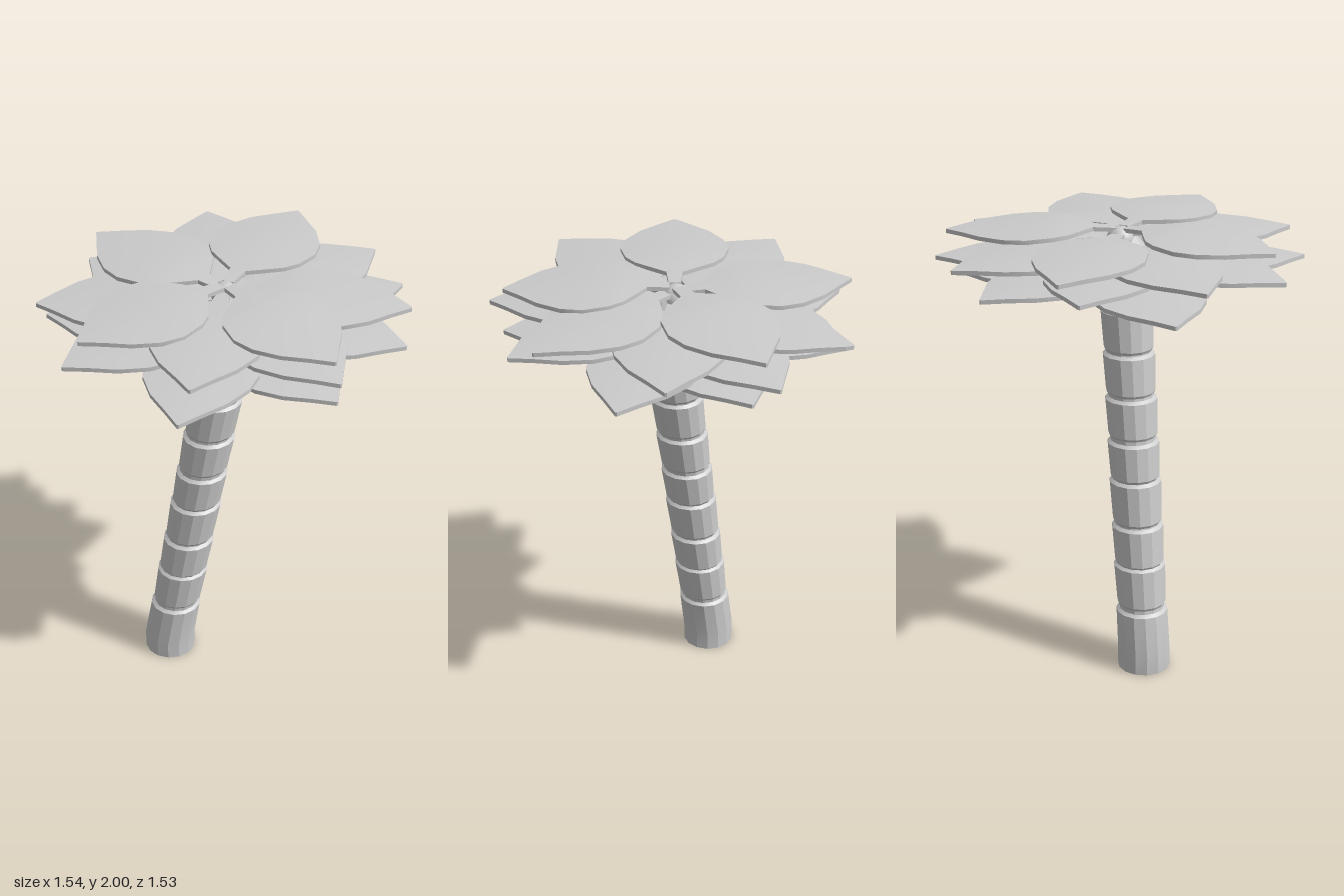
import * as THREE from 'three';
import { toCreasedNormals } from 'three/addons/utils/BufferGeometryUtils.js';

const material = new THREE.MeshStandardMaterial({ color: 0xcccccc });

// Skins a list of equal-sized rings of [x, y, z] points and caps both ends.
function loft(rings, crease) {
  const n = rings[0].length, last = (rings.length - 1) * n;
  const index = [];
  for (let i = 0; i < rings.length - 1; i++) {
    for (let j = 0; j < n; j++) {
      const a = i * n + j, b = i * n + (j + 1) % n;
      index.push(a, b, b + n, a, b + n, a + n);
    }
  }
  for (let j = 1; j < n - 1; j++) {
    index.push(0, j + 1, j, last, last + j, last + j + 1);
  }
  const geometry = new THREE.BufferGeometry();
  geometry.setAttribute('position', new THREE.Float32BufferAttribute(rings.flat(2), 3));
  geometry.setIndex(index);
  return toCreasedNormals(geometry, crease);
}

function addMesh(parent, name, geometry) {
  const mesh = new THREE.Mesh(geometry, material);
  mesh.name = name;
  parent.add(mesh);
  return mesh;
}

// Horizontal ring of the leaning trunk: upright foot, then a straight lean
function trunkRing(y, radius) {
  const t = THREE.MathUtils.clamp((y - 0.08) / 1.64, 0, 1);
  const cx = -0.175 + 0.165 * t, cz = -0.2 + 0.22 * t;
  return Array.from({ length: 14 }, (_, k) => {
    const a = k / 14 * Math.PI * 2;
    return [cx + radius * Math.sin(a), y, cz + radius * Math.cos(a)];
  });
}

// Pointed leaf along +x: gently arched, edges drooping a little
const leafOutline = [ // fraction of length, half width
  [0.03, 0.025], [0.16, 0.035], [0.22, 0.1], [0.29, 0.17], [0.37, 0.212],
  [0.52, 0.237], [0.65, 0.217], [0.79, 0.155], [0.9, 0.075], [1, 0.004],
];
function leafGeometry(length) {
  const thickness = 0.018;
  const rings = leafOutline.map(([f, w]) => {
    const arch = f < 0.35 ? 0.03 - 0.015 * (1 - f / 0.35) : 0.03 * (1 - ((f - 0.35) / 0.65) ** 1.5);
    const across = [-1, -0.5, 0, 0.5, 1].map((s) => [f * length, arch - 0.2 * (s * w) ** 2, s * w]);
    const under = across.map(([x, y, z]) => [x, y - thickness, z]).reverse();
    return [...across, ...under];
  });
  return loft(rings, 0.6);
}

// Whorls from top to bottom: tip height, then [heading in degrees, length]
const whorls = [
  [1.973, [[-17, 0.755], [101, 0.72], [191, 0.725]]],
  [1.951, [[-90, 0.77], [57, 0.775], [148, 0.755]]],
  [1.91, [[13.5, 0.79], [102.5, 0.78], [226, 0.79], [-48.5, 0.8]]],
  [1.866, [[193, 0.79], [-20, 0.8], [69, 0.79], [264, 0.745]]],
  [1.825, [[150.5, 0.815], [27, 0.82], [-61.5, 0.775]]],
  [1.785, [[235, 0.77], [-14, 0.725], [100, 0.725]]],
];

export function createModel() {
  const model = new THREE.Group();
  model.name = 'palmTree';

  // Trunk: flared segments separated by narrow grooves
  const bottoms = [0, 0.31, 0.5, 0.69, 0.89, 1.08, 1.27, 1.46, 1.65];
  const tops = [0.27, 0.48, 0.66, 0.865, 1.04, 1.235, 1.43, 1.62, 1.78];
  const rings = [];
  bottoms.forEach((y, i) => {
    if (i === 0) rings.push(trunkRing(0, 0.118), trunkRing(0.08, 0.118));
    else rings.push(trunkRing(y - 0.012, 0.102), trunkRing(y, 0.11));
    rings.push(trunkRing(tops[i], 0.116));
    if (i < 8) rings.push(trunkRing(tops[i] + 0.012, 0.102));
  });
  addMesh(model, 'trunk', loft(rings, 0.35));

  // Core the leaves grow from, with a rounded bud on top
  const core = [[1.76, 0.105], [1.88, 0.1], [1.95, 0.05]].map(([y, r]) => trunkRing(y, r));
  addMesh(model, 'crownCore', loft(core, 0.35));
  const bud = addMesh(model, 'crownBud', new THREE.SphereGeometry(0.063, 16, 10));
  bud.position.set(0.005, 1.93, -0.005);

  // Leaves
  const crown = new THREE.Group();
  crown.name = 'crown';
  for (const [y, leaves] of whorls) {
    for (const [heading, length] of leaves) {
      const leaf = addMesh(crown, 'leaf', leafGeometry(length));
      leaf.position.y = y;
      leaf.rotation.y = -THREE.MathUtils.degToRad(heading);
    }
  }
  model.add(crown);
  return model;
}
